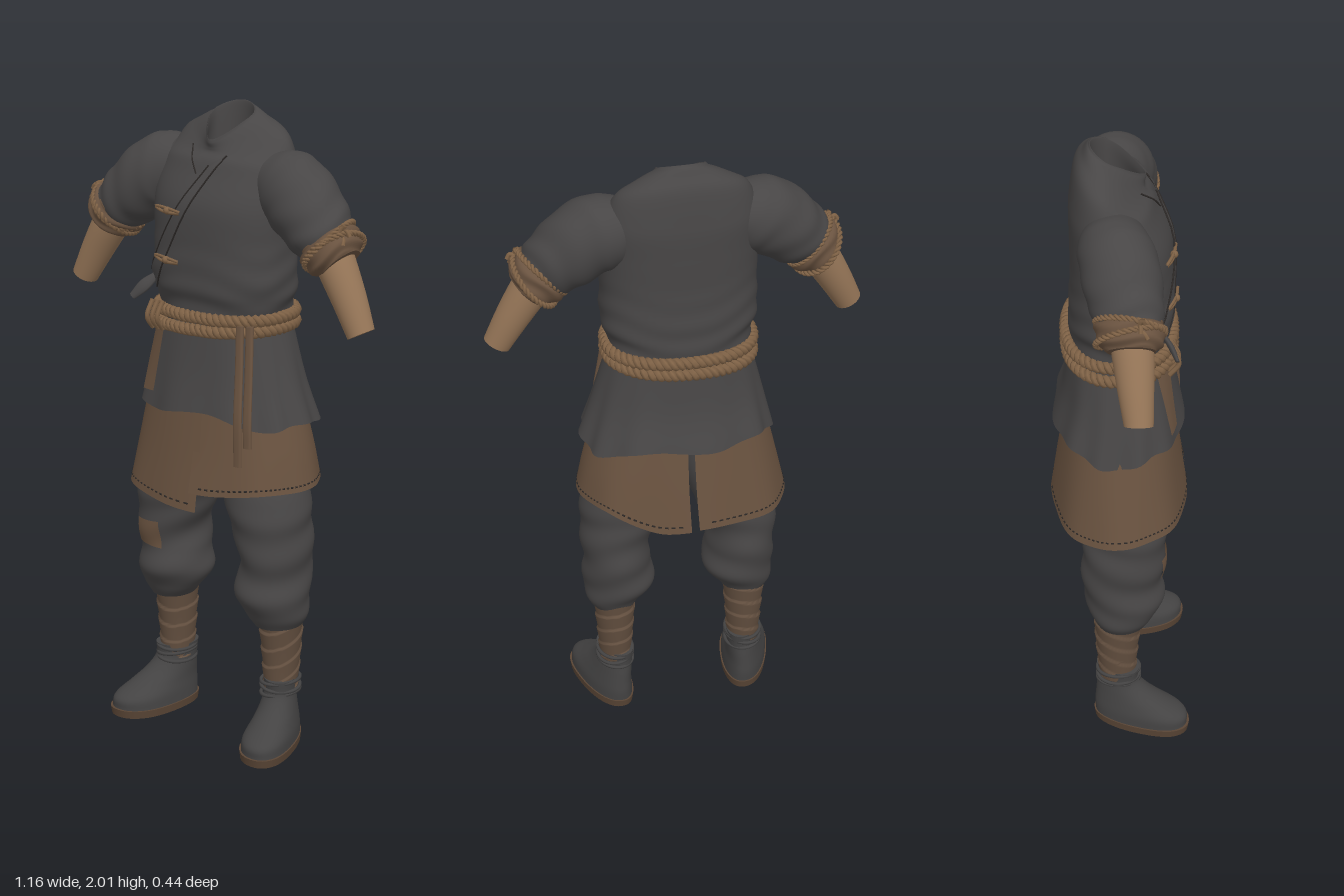
import * as THREE from 'three';

const mat = (name, color, side = THREE.FrontSide) => {
  const m = new THREE.MeshStandardMaterial({ color, side });
  m.name = name;
  return m;
};
const { smoothstep, clamp } = THREE.MathUtils;

// Superellipse point helper
const pw = (c, n) => Math.sign(c) * Math.pow(Math.abs(c), 2 / n);

// Lofts rings along keys [x, y, z, radiusA, radiusZ, squareness].
// flat keeps rings horizontal (list keys from bottom to top); arc makes an open panel.
function sweep(keys, { rows = 32, seg = 40, flat = false, arc = null, caps = false, warp = null } = {}) {
  const path = new THREE.CatmullRomCurve3(keys.map(k => new THREE.Vector3(k[0], k[1], k[2])), false, 'catmullrom');
  const size = new THREE.CatmullRomCurve3(keys.map(k => new THREE.Vector3(k[3], k[4], k[5] || 2)), false, 'catmullrom');
  const pos = [], idx = [], cols = arc ? seg + 1 : seg;
  const [a0, a1] = arc || [0, Math.PI * 2];
  for (let i = 0; i <= rows; i++) {
    const u = i / rows, c = path.getPoint(u), s = size.getPoint(u);
    const t = flat ? new THREE.Vector3(0, 1, 0) : path.getTangent(u).setZ(0).normalize();
    for (let j = 0; j < cols; j++) {
      const th = a0 + (a1 - a0) * j / seg;
      const a = s.x * pw(Math.cos(th), s.z), b = s.y * pw(Math.sin(th), s.z);
      const d = new THREE.Vector3(a * t.y, -a * t.x, b);
      const p = warp ? warp(c, d, th, u) : d.add(c);
      pos.push(p.x, p.y, p.z);
    }
  }
  for (let i = 0; i < rows; i++) for (let j = 0; j < seg; j++) {
    const k = arc ? j + 1 : (j + 1) % seg;
    const a = i * cols + j, b = i * cols + k, c = a + cols, d = b + cols;
    idx.push(a, c, b, b, c, d);
  }
  if (caps) for (const row of [0, rows]) {
    const c = path.getPoint(row / rows), start = pos.length / 3;
    pos.push(c.x, c.y, c.z);
    for (let j = 0; j < cols; j++) pos.push(...pos.slice((row * cols + j) * 3, (row * cols + j) * 3 + 3));
    for (let j = 0; j < seg; j++) {
      const a = start + 1 + j, b = start + 1 + (j + 1) % seg;
      row ? idx.push(start, b, a) : idx.push(start, a, b);
    }
  }
  const g = new THREE.BufferGeometry();
  g.setAttribute('position', new THREE.Float32BufferAttribute(pos, 3));
  g.setIndex(idx);
  g.computeVertexNormals();
  return g;
}

export function createModel() {
  const model = new THREE.Group();
  model.name = 'wanderer outfit';
  const cloth = mat('charcoal cloth', 0x484646, THREE.DoubleSide);
  const brown = mat('brown cloth', 0x6a5340, THREE.DoubleSide);
  const wrap = mat('leg wrap brown', 0x645040);
  const ropeMat = mat('straw rope', 0x7f6246);
  const skin = mat('skin', 0x957557);
  const soleMat = mat('sole brown', 0x594535);
  const thread = mat('dark thread', 0x2c2826);
  const boot = mat('dark leather', 0x444343);

  const add = (name, geo, material) => {
    const m = new THREE.Mesh(geo, material);
    m.name = name;
    model.add(m);
    return m;
  };
  const V = (x, y, z) => new THREE.Vector3(x, y, z);
  const tube = (name, pts, r, material, closed = false) =>
    add(name, new THREE.TubeGeometry(new THREE.CatmullRomCurve3(pts, closed), closed ? 40 : 12, r, 6, closed), material);

  // Two twisted strands following a closed loop
  function rope(name, pts, r, twists) {
    const curve = new THREE.CatmullRomCurve3(pts, true), n = twists * 8;
    const f = curve.computeFrenetFrames(n, true);
    for (const phase of [0, Math.PI]) {
      const strand = [];
      for (let i = 0; i < n; i++) {
        const a = phase + i / n * twists * Math.PI * 2;
        strand.push(curve.getPointAt(i / n).addScaledVector(f.normals[i], r * 0.6 * Math.cos(a))
          .addScaledVector(f.binormals[i], r * 0.6 * Math.sin(a)));
      }
      add(name, new THREE.TubeGeometry(new THREE.CatmullRomCurve3(strand, true), n, r * 0.65, 6, true), ropeMat);
    }
  }
  const loop = (n, fn) => Array.from({ length: n }, (_, i) => fn(i / n * Math.PI * 2));

  // Thin sheet laid over the front of another part; corners run bottom-left, bottom-right, top-left, top-right
  const ray = new THREE.Raycaster();
  function frontZ(target, x, y) {
    ray.set(V(x, y, 3), V(0, 0, -1));
    return ray.intersectObject(target)[0].point.z;
  }
  function drape(name, target, [bl, br, tl, tr], off, material, nx = 4, ny = 14) {
    const g = new THREE.PlaneGeometry(1, 1, nx, ny), p = g.attributes.position;
    for (let i = 0; i < p.count; i++) {
      const s = p.getX(i) + 0.5, t = p.getY(i) + 0.5;
      const mix = k => (bl[k] * (1 - s) + br[k] * s) * (1 - t) + (tl[k] * (1 - s) + tr[k] * s) * t;
      const x = mix(0), y = mix(1);
      p.setXYZ(i, x, y, frontZ(target, x, y) + off);
    }
    g.computeVertexNormals();
    return add(name, g, material);
  }
  const seam = (name, target, [x0, y0], [x1, y1], off) =>
    tube(name, Array.from({ length: 12 }, (_, i) => {
      const x = x0 + (x1 - x0) * i / 11, y = y0 + (y1 - y0) * i / 11;
      return V(x, y, frontZ(target, x, y) + off);
    }), 0.0025, thread);

  // Jacket body, rolling over the collar into the three-cornered neck opening
  const torso = add('jacket body', sweep([
    [0, 1.34, -0.003, 0.212, 0.15, 2.3], [0, 1.42, 0, 0.222, 0.154, 2.3], [0, 1.48, 0.005, 0.236, 0.158, 2.4],
    [0, 1.6, 0.005, 0.234, 0.153, 2.4], [0, 1.72, 0, 0.236, 0.15, 2.4], [0, 1.82, -0.022, 0.228, 0.128, 2.4],
    [0, 1.893, -0.03, 0.2, 0.106, 2.2], [0, 1.928, -0.018, 0.14, 0.09, 2], [0, 1.952, -0.008, 0.088, 0.084, 2],
    [0, 1.952, -0.006, 0.078, 0.078, 2], [0, 1.85, -0.006, 0.074, 0.073, 2],
  ], {
    rows: 80, seg: 56, flat: true, warp: (c, d, th) => {
      const low = 1 - smoothstep(c.y, 1.42, 1.7);
      d.multiplyScalar(1 + 0.014 * low * Math.sin(c.y * 75 + 2 * Math.sin(th * 3)));
      const p = d.add(c), k = smoothstep(c.y, 1.84, 1.95);
      p.y -= k * (p.z > 0 ? 0.7 : 0.52) * p.z;
      p.x *= 1 - k * 0.55 * clamp((p.z + 0.04) / 0.12, 0, 1);
      return p;
    },
  }), cloth);
  const lining = new THREE.CircleGeometry(1, 28), lp = lining.attributes.position;
  for (let i = 0; i < lp.count; i++) {
    const z = -0.006 - 0.07 * lp.getY(i);
    lp.setXYZ(i, 0.07 * lp.getX(i) * (1 - 0.55 * clamp((z + 0.04) / 0.12, 0, 1)), 1.88 - 0.25 * z, z);
  }
  lining.computeVertexNormals();
  add('neck lining', lining, brown);
  drape('diagonal lapel', torso, [[-0.215, 1.47], [-0.165, 1.445], [0.02, 1.84], [0.065, 1.87]], 0.008, cloth, 4, 24);
  seam('lapel edge', torso, [-0.215, 1.47], [0.02, 1.84], 0.008);
  seam('lapel edge', torso, [-0.165, 1.445], [0.065, 1.87], 0.008);
  drape('right lapel', torso, [[-0.02, 1.81], [0.015, 1.83], [-0.08, 1.885], [-0.045, 1.89]], 0.006, cloth);
  seam('lapel edge', torso, [-0.02, 1.81], [-0.08, 1.885], 0.006);

  // Cord fastenings and the loose tie at the side
  for (const y of [1.695, 1.545]) {
    for (const dy of [-0.006, 0.006]) {
      tube('fastening cord', [-0.165, -0.13, -0.09, -0.045].map((x, i) =>
        V(x, y + dy * (i % 3 ? 1 : 0.3), frontZ(torso, x, y) + 0.009)), 0.005, ropeMat);
    }
    const knot = add('fastening knot', new THREE.SphereGeometry(0.012, 10, 8), ropeMat);
    knot.position.set(-0.1, y, frontZ(torso, -0.1, y) + 0.01);
  }
  add('side tie', sweep([[-0.18, 1.475, 0.12, 0.012, 0.008], [-0.205, 1.445, 0.145, 0.02, 0.01], [-0.235, 1.41, 0.165, 0.012, 0.006]],
    { rows: 8, seg: 10, caps: true }), cloth);

  // Jacket skirt with soft folds
  const tunic = add('jacket skirt', sweep([
    [0.01, 1.075, -0.005, 0.297, 0.2, 2.3], [0.004, 1.2, 0, 0.26, 0.172, 2.3], [0, 1.37, -0.003, 0.212, 0.15, 2.3],
  ], {
    rows: 20, seg: 96, flat: true, warp: (c, d, th, u) => {
      const p = d.multiplyScalar(1 + (1 - u) * 0.024 * Math.cos(11 * th + Math.sin(th * 2))).add(c);
      p.y += (1 - u) * (-0.014 * Math.cos(2 * th) + 0.012 * Math.sin(5 * th + 1));
      return p;
    },
  }), cloth);

  // Two brown under-skirt panels, parted at front and back, with a running stitch above the hem
  function under(name, arc, hem, inset) {
    const seg = 48, panel = add(name, sweep([
      [-0.005, 0.79, -0.003, 0.333, 0.212, 2.3], [0, 0.95, -0.003, 0.303, 0.19, 2.3], [0, 1.16, 0, 0.255, 0.162, 2.3],
    ], {
      rows: 14, seg, flat: true, arc, warp: (c, d, th, u) => {
        const p = d.multiplyScalar(inset + (1 - u) * 0.012 * Math.cos(8 * th)).add(c);
        p.y += (1 - u) * hem(th);
        return p;
      },
    }), brown);
    const at = j => V().fromBufferAttribute(panel.geometry.attributes.position, seg + 1 + j);
    for (let j = 1; j < seg - 1; j++) {
      const a = at(j), b = at(j).lerp(at(j + 1), 0.55);
      add('hem stitch', new THREE.TubeGeometry(new THREE.LineCurve3(a, b), 1, 0.003, 4), thread);
    }
  }
  under('right under-skirt', [1.45, 4.69], th => 0.008 * Math.sin(3 * th), 1);
  under('left under-skirt', [-1.55, 1.52],
    th => 0.075 * smoothstep(th, -1.4, -0.6) - 0.025 * smoothstep(th, 0.6, 1.5), 0.98);

  // Rope belt, its hitch and the hanging ends
  for (const [y, tilt] of [[1.345, 0.014], [1.385, 0.006]]) {
    rope('rope belt', loop(32, a => V(0.222 * pw(Math.cos(a), 2.3), y + tilt * Math.cos(a), 0.16 * pw(Math.sin(a), 2.3) - 0.002)), 0.017, 30);
  }
  for (const x of [-0.17, -0.15, -0.13]) {
    tube('belt hitch', [V(x, 1.32, 0.145), V(x, 1.36, 0.172), V(x + 0.004, 1.41, 0.15)], 0.008, ropeMat);
  }
  drape('hanging sash', tunic, [[-0.205, 1.12], [-0.15, 1.125], [-0.185, 1.34], [-0.125, 1.34]], 0.012, brown);
  const strap = (dx, end) => add('hanging strap', sweep([
    [0.2 + dx, end, 0.188, 0.014, 0.006, 3], [0.195 + dx, 1.1, 0.183, 0.015, 0.006, 3],
    [0.18 + dx, 1.24, 0.158, 0.014, 0.006, 3], [0.165 + dx, 1.38, 0.135, 0.013, 0.008, 3],
  ], { rows: 16, seg: 14, caps: true }), brown);
  strap(0, 0.96);
  strap(0.026, 1.02).position.z = -0.014;

  for (const s of [1, -1]) {
    const side = s > 0 ? 'left ' : 'right ';
    const mir = keys => keys.map(([x, ...rest]) => [x * s, ...rest]);

    // Puffed sleeve
    add(side + 'sleeve', sweep(mir([
      [0.16, 1.81, -0.02, 0.08, 0.085], [0.215, 1.788, -0.016, 0.112, 0.108], [0.275, 1.758, -0.004, 0.116, 0.115],
      [0.345, 1.7, 0.008, 0.106, 0.11], [0.395, 1.655, 0.02, 0.09, 0.096], [0.43, 1.625, 0.025, 0.07, 0.078],
    ]), {
      rows: 36, caps: true,
      warp: (c, d, th, u) => d.multiplyScalar(1 + 0.035 * u * Math.sin(u * 28 + 2 * Math.sin(2 * th))).add(c),
    }), cloth);

    // Gathered cuff bound with cord
    add(side + 'cuff', sweep(mir([[0.385, 1.665, 0.019, 0.075, 0.082], [0.402, 1.647, 0.021, 0.093, 0.099],
      [0.437, 1.614, 0.025, 0.085, 0.093], [0.455, 1.597, 0.027, 0.06, 0.068]]), {
      rows: 20, caps: true, warp: (c, d, th, u) => d.multiplyScalar(1 + 0.04 * Math.sin(u * 20 + 1.5 * Math.sin(3 * th))).add(c),
    }), brown);
    for (const [x, y, tilt] of [[0.405, 1.648, 0.012], [0.425, 1.626, -0.014]]) {
      rope(side + 'cuff cord', loop(20, a => V(s * (x + 0.061 * Math.cos(a) + tilt * Math.sin(a)),
        y + 0.066 * Math.cos(a) - tilt * Math.sin(a), 0.023 + 0.097 * Math.sin(a))), 0.008, 18);
    }
    for (const [dx, dy, dz] of [[0.035, 0.012, 0.01], [0.025, -0.012, 0.03], [0.005, 0.025, 0.02]]) {
      tube(side + 'cord end', [V(s * 0.465, 1.68, 0.04), V(s * (0.472 + dx / 2), 1.69 + dy, 0.045 + dz / 2),
        V(s * (0.465 + dx), 1.675 + dy, 0.04 + dz)], 0.007, ropeMat);
    }
    add(side + 'forearm', sweep(mir([[0.41, 1.635, 0.023, 0.06, 0.062], [0.445, 1.58, 0.03, 0.058, 0.06],
      [0.495, 1.495, 0.037, 0.051, 0.052], [0.543, 1.405, 0.045, 0.042, 0.042]]), { rows: 16, caps: true }), skin);

    // Baggy trouser leg
    const leg = add(side + 'trouser leg', sweep(mir([
      [0.215, 0.4, 0, 0.07, 0.08], [0.212, 0.44, 0.008, 0.096, 0.1], [0.195, 0.5, 0.01, 0.116, 0.125],
      [0.202, 0.57, 0.005, 0.106, 0.125], [0.207, 0.64, 0.005, 0.107, 0.128], [0.193, 0.72, 0.012, 0.122, 0.13],
      [0.172, 0.81, 0.008, 0.138, 0.132], [0.142, 0.92, 0, 0.135, 0.12], [0.115, 1.05, 0, 0.115, 0.1],
    ]), {
      rows: 56, flat: true, caps: true, warp: (c, d, th) => {
        const a = s > 0 ? th : Math.PI - th;
        return d.multiplyScalar(1 + 0.035 * Math.sin(c.y * 48 + 2.5 * Math.sin(a + 0.6)) * (1 - smoothstep(c.y, 0.72, 0.84))).add(c);
      },
    }), cloth);
    if (s < 0) drape('knee patch', leg, [[-0.25, 0.595], [-0.165, 0.585], [-0.255, 0.675], [-0.165, 0.68]], 0.006, brown, 6, 6);

    // Spiral shin wrap
    add(side + 'shin wrap', sweep(mir([[0.215, 0.17, -0.01, 0.048, 0.055], [0.215, 0.3, -0.012, 0.056, 0.064],
      [0.215, 0.44, -0.008, 0.066, 0.074]]), {
      rows: 60, flat: true, warp: (c, d, th) => {
        const q = c.y * 17 + s * th / (Math.PI * 2) + 0.35 * Math.sin(th);
        return d.multiplyScalar(1 + 0.09 * (q - Math.floor(q))).add(c);
      },
    }), wrap);

    // Boot, turned slightly outwards, with a narrow heel
    const splay = (c, d) => {
      d.x *= 0.93 + 0.9 * clamp(d.z, -0.15, 0.1);
      const p = d.add(c);
      p.x += s * 0.22 * p.z;
      return p;
    };
    add(side + 'boot', sweep(mir([
      [0.228, 0.025, 0.066, 0.082, 0.148, 2.3], [0.228, 0.06, 0.062, 0.08, 0.146, 2.2], [0.226, 0.095, 0.034, 0.07, 0.115, 2.1],
      [0.222, 0.13, 0.008, 0.062, 0.086], [0.218, 0.17, -0.008, 0.056, 0.066], [0.217, 0.215, -0.01, 0.058, 0.068],
    ]), { rows: 28, flat: true, caps: true, warp: splay }), boot);
    add(side + 'sole', sweep(mir([[0.228, 0, 0.067, 0.084, 0.15, 2.3], [0.228, 0.026, 0.067, 0.087, 0.154, 2.3]]),
      { rows: 2, flat: true, caps: true, warp: splay }), soleMat);
    for (const [y, tilt] of [[0.165, 0.1], [0.185, -0.12], [0.205, 0.06]]) {
      tube(side + 'ankle tie', loop(16, a => V(s * 0.216 + 0.057 * Math.cos(a), y + 0.057 * tilt * Math.cos(a) * s,
        -0.008 + 0.068 * Math.sin(a))), 0.006, boot, true);
    }
  }
  return model;
}
